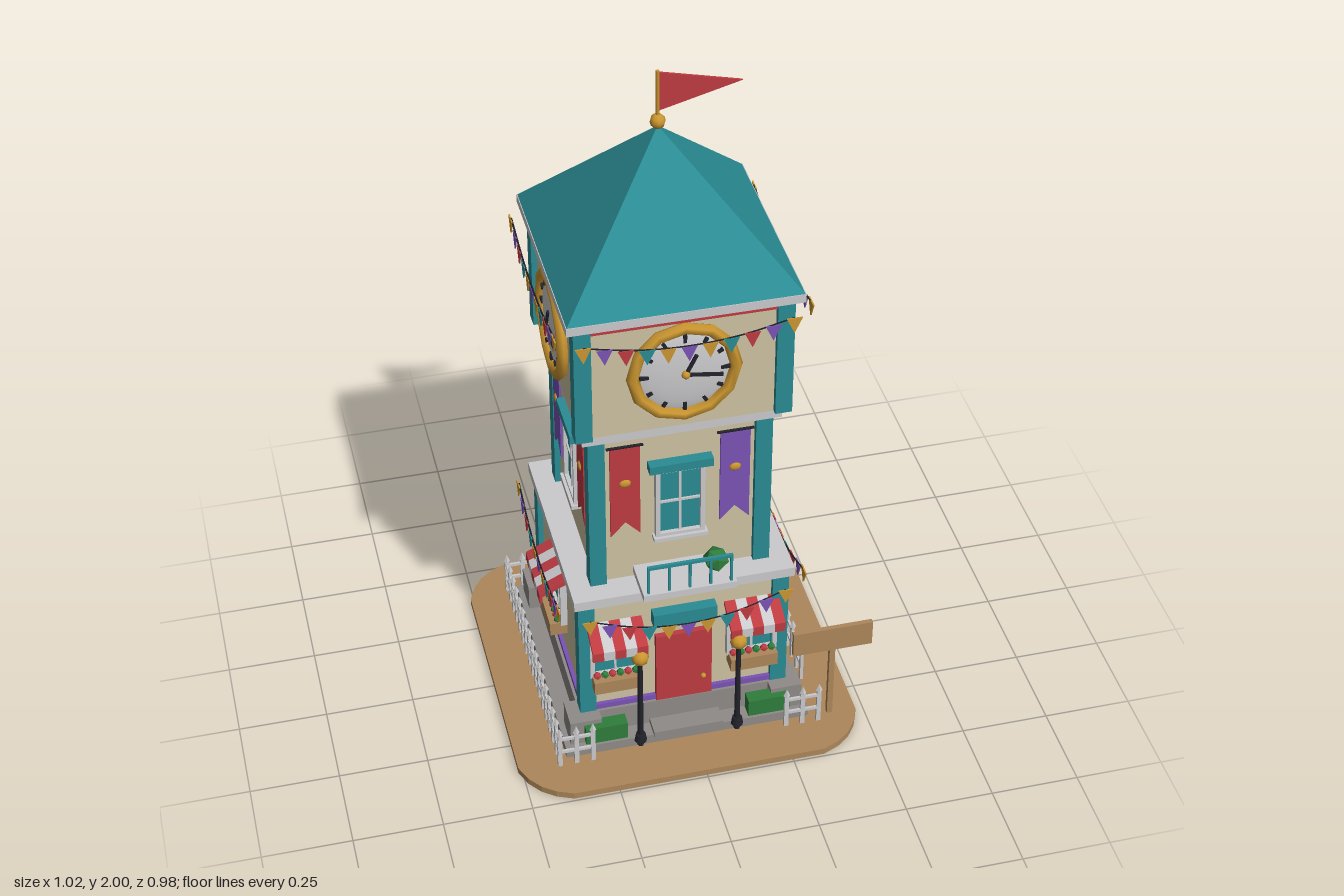
import * as THREE from 'three';

const mat = (name, color) => { const m = new THREE.MeshStandardMaterial({ color }); m.name = name; return m; };

export function createModel() {
  const teal = mat('teal', 0x2a8c94), cream = mat('cream', 0xcfc2a2), pale = mat('paleGrey', 0xcbcbcd);
  const stone = mat('stone', 0x8f8b88), red = mat('red', 0xbf3b42), purple = mat('purple', 0x7b52b5);
  const gold = mat('gold', 0xcb9630), wood = mat('wood', 0xad875a), green = mat('green', 0x2f7d3c), dark = mat('dark', 0x22232b);

  const model = new THREE.Group();
  model.name = 'clockTower';
  const tower = new THREE.Group();
  tower.name = 'tower';
  tower.position.x = -0.02;
  model.add(tower);

  const add = (parent, name, geo, material, x = 0, y = 0, z = 0) => {
    const m = new THREE.Mesh(geo, material);
    m.name = name;
    m.position.set(x, y, z);
    parent.add(m);
    return m;
  };
  const box = (parent, name, material, w, h, d, x, y, z) =>
    add(parent, name, new THREE.BoxGeometry(w, h, d), material, x, y, z);
  const plate = (points, depth) => new THREE.ExtrudeGeometry(
    new THREE.Shape(points.map(p => new THREE.Vector2(...p))), { depth, bevelEnabled: false });
  const faceted = g => { const f = g.toNonIndexed(); f.computeVertexNormals(); return f; };
  // square block from y0 to y1 with the given half width
  const block = (name, material, half, y0, y1) =>
    box(tower, name, material, half * 2, y1 - y0, half * 2, 0, (y0 + y1) / 2, 0);

  // Rounded ground slab
  const g = new THREE.Shape(), a = 0.492, c = 0.36;
  g.moveTo(-c, -a); g.lineTo(c, -a); g.quadraticCurveTo(a - 0.03, -a + 0.03, a, -c);
  g.lineTo(a, c); g.quadraticCurveTo(a - 0.03, a - 0.03, c, a);
  g.lineTo(-c, a); g.quadraticCurveTo(-a + 0.03, a - 0.03, -a, c);
  g.lineTo(-a, -c); g.quadraticCurveTo(-a + 0.03, -a + 0.03, -c, -a);
  add(model, 'ground', new THREE.ExtrudeGeometry(g, { depth: 0.02, bevelEnabled: false, curveSegments: 4 })
    .rotateX(-Math.PI / 2), wood, -0.02, 0, 0);

  // Stacked storeys and cornices
  block('step', stone, 0.352, 0.02, 0.05);
  block('plinth', stone, 0.302, 0.05, 0.13);
  block('plinthStripe', purple, 0.294, 0.13, 0.147);
  block('lowerWalls', cream, 0.283, 0.13, 0.53);
  block('lowerCornice', pale, 0.31, 0.525, 0.555);
  block('middleWalls', cream, 0.235, 0.555, 1.06);
  block('middleCornice', pale, 0.27, 1.06, 1.09);
  block('upperWalls', cream, 0.275, 1.09, 1.455);
  block('upperCornice', pale, 0.312, 1.455, 1.48);
  for (const sx of [-1, 1]) for (const sz of [-1, 1]) {
    box(tower, 'cornerStone', stone, 0.09, 0.08, 0.09, sx * 0.29, 0.09, sz * 0.29);
    for (const [y0, y1, out] of [[0.13, 0.525, 0.298], [0.555, 1.06, 0.252], [1.09, 1.455, 0.291]])
      box(tower, 'cornerPost', teal, 0.046, y1 - y0, 0.046, sx * (out - 0.023), (y0 + y1) / 2, sz * (out - 0.023));
  }

  // Roof, finial and flag
  add(tower, 'roof', faceted(new THREE.ConeGeometry(0.31 * Math.SQRT2, 0.36, 4).rotateY(Math.PI / 4)), teal, 0, 1.66, 0);
  add(tower, 'finial', new THREE.SphereGeometry(0.021, 8, 6), gold, 0, 1.853, 0);
  add(tower, 'flagPole', new THREE.CylinderGeometry(0.005, 0.005, 0.15, 6), gold, 0, 1.925, 0);
  add(tower, 'flag', plate([[0.004, 1.995], [0.004, 1.885], [0.22, 1.943]], 0.006), red, 0, 0, -0.003);

  // Repeated details, each facing local +z
  const windowUnit = (parent, x, y, z, w, h) => {
    const u = new THREE.Group();
    u.name = 'window';
    u.position.set(x, y, z);
    parent.add(u);
    box(u, 'glass', teal, w, h, 0.008, 0, 0, 0.003);
    for (const s of [-1, 1]) {
      box(u, 'frameSide', pale, 0.013, h + 0.026, 0.022, s * (w / 2 + 0.006), 0, 0.008);
      box(u, 'frameRail', pale, w, 0.013, 0.022, 0, s * (h / 2 + 0.006), 0.008);
    }
    box(u, 'mullion', pale, 0.007, h, 0.012, 0, 0, 0.006);
    box(u, 'crossbar', pale, w, 0.007, 0.012, 0, 0, 0.006);
  };

  const awning = (parent, x, width) => {
    const w = width / 5;
    const profile = plate([[0.283, 0.435], [0.283, 0.448], [0.365, 0.408], [0.365, 0.378], [0.357, 0.378], [0.357, 0.4]], w);
    // profile is drawn as (z, y), extruded along x
    profile.rotateY(-Math.PI / 2);
    for (let i = 0; i < 5; i++)
      add(parent, 'awningStripe', profile, i % 2 ? pale : red, x - width / 2 + w * (i + 1), 0, 0);
  };

  const planter = (parent, x) => {
    box(parent, 'windowBox', wood, 0.135, 0.042, 0.05, x, 0.245, 0.308);
    for (let i = 0; i < 6; i++) {
      const px = x - 0.055 + i * 0.022;
      add(parent, 'flower', new THREE.IcosahedronGeometry(0.012, 0), i % 2 ? green : red, px, 0.272, 0.308);
    }
  };

  const shopWindow = (parent, x, width) => {
    windowUnit(parent, x, 0.337, 0.283, 0.12, 0.13);
    awning(parent, x, width);
    planter(parent, x);
  };

  const flagShape = plate([[-0.021, 0], [0, -0.046], [0.021, 0]], 0.004);
  const bunting = (parent, y, sag, z) => {
    const n = 11, half = 0.275, colours = [gold, purple, red, teal];
    const at = t => new THREE.Vector3(t * half, y - sag * (1 - t * t), z);
    const cord = new THREE.CatmullRomCurve3([-1, -0.5, 0, 0.5, 1].map(at));
    add(parent, 'buntingCord', new THREE.TubeGeometry(cord, 12, 0.0025, 4), dark);
    for (let i = 0; i < n; i++) {
      const p = at(-1 + 2 * i / (n - 1));
      add(parent, 'buntingFlag', flagShape, colours[Math.min(i, n - 1 - i) % 4], p.x, p.y, p.z);
    }
  };

  const bannerShape = plate([[-0.041, 0], [-0.041, -0.3], [0, -0.255], [0.041, -0.3], [0.041, 0]], 0.006);
  const banner = (parent, x, material) => {
    add(parent, 'banner', bannerShape, material, x, 1.02, 0.246);
    const rod = add(parent, 'bannerRod', new THREE.CylinderGeometry(0.004, 0.004, 0.1, 6), dark, x, 1.023, 0.25);
    rod.rotation.z = Math.PI / 2;
    add(parent, 'bannerEmblem', new THREE.SphereGeometry(0.017, 8, 6).scale(1, 0.75, 0.4), gold, x, 0.9, 0.252);
  };

  const clock = parent => {
    const k = new THREE.Group();
    k.name = 'clock';
    k.position.set(0, 1.273, 0.275);
    parent.add(k);
    add(k, 'clockFace', new THREE.SphereGeometry(0.137, 24, 8, 0, Math.PI * 2, 0, Math.PI / 2)
      .rotateX(Math.PI / 2).scale(1, 1, 0.17), pale);
    add(k, 'clockRim', new THREE.TorusGeometry(0.138, 0.017, 6, 12), gold, 0, 0, 0.012);
    for (let i = 0; i < 12; i++) {
      const t = i * Math.PI / 6;
      const m = box(k, 'hourMark', dark, 0.009, i % 3 ? 0.016 : 0.024, 0.008, Math.sin(t) * 0.108, Math.cos(t) * 0.108, 0.016);
      m.rotation.z = -t;
    }
    for (const [len, t] of [[0.065, 0.45], [0.1, 1.72]]) {
      const h = box(k, 'clockHand', dark, 0.009, len, 0.006, Math.sin(t) * len / 2, Math.cos(t) * len / 2, 0.027);
      h.rotation.z = -t;
    }
    add(k, 'clockHub', new THREE.SphereGeometry(0.012, 8, 6), gold, 0, 0, 0.027);
  };

  const fence = (parent, x0, x1) => {
    const n = Math.round((x1 - x0) / 0.047);
    for (const y of [0.07, 0.118]) box(parent, 'fenceRail', pale, x1 - x0, 0.009, 0.007, (x0 + x1) / 2, y, 0.375);
    for (let i = 0; i <= n; i++) {
      const x = x0 + (x1 - x0) * i / n;
      box(parent, 'picket', pale, 0.013, 0.115, 0.009, x, 0.077, 0.375);
      add(parent, 'picketTip', faceted(new THREE.ConeGeometry(0.01, 0.026, 4)), pale, x, 0.147, 0.375);
    }
  };

  // Four sides of the tower
  ['front', 'leftSide', 'back', 'rightSide'].forEach((name, i) => {
    const s = new THREE.Group();
    s.name = name;
    s.rotation.y = i * Math.PI / 2;
    tower.add(s);
    clock(s);
    box(s, 'upperTrim', red, 0.5, 0.01, 0.012, 0, 1.433, 0.281);
    bunting(s, 1.43, 0.04, 0.335);
    bunting(s, 0.512, 0.065, 0.345);
    windowUnit(s, 0, 0.81, 0.235, 0.112, 0.21);
    box(s, 'windowLintel', teal, 0.175, 0.026, 0.035, 0, 0.938, 0.248);
    box(s, 'windowSill', pale, 0.15, 0.012, 0.03, 0, 0.69, 0.248);
    banner(s, -0.152, i % 2 ? purple : red);
    banner(s, 0.15, i % 2 ? red : purple);
    if (i) {
      shopWindow(s, 0, 0.19);
      fence(s, i === 1 ? -0.2 : -0.375, 0.375);
      return;
    }

    // Entrance front: windows, door, sign, lamps and shrubs
    for (const e of [-1, 1]) {
      shopWindow(s, e * 0.195, 0.155);
      const x = e * 0.14;
      add(s, 'lampPost', new THREE.CylinderGeometry(0.007, 0.009, 0.32, 8), dark, x, 0.19, 0.36);
      add(s, 'lampBase', new THREE.CylinderGeometry(0.014, 0.018, 0.025, 8), dark, x, 0.06, 0.36);
      add(s, 'lampGlobe', new THREE.SphereGeometry(0.025, 8, 6), gold, x, 0.365, 0.36);
      box(s, 'shrub', green, 0.12, 0.055, 0.04, e * 0.235, 0.088, 0.335);
      fence(s, e < 0 ? -0.375 : 0.28, e < 0 ? -0.28 : 0.375);
    }
    box(s, 'door', red, 0.16, 0.32, 0.02, 0, 0.21, 0.29);
    add(s, 'doorKnob', new THREE.SphereGeometry(0.008, 8, 6), gold, 0.055, 0.2, 0.304);
    box(s, 'doorSign', teal, 0.18, 0.045, 0.035, 0, 0.443, 0.298);
    box(s, 'doorStep', stone, 0.2, 0.02, 0.07, 0, 0.055, 0.325);

    // Balcony with rail and potted bush
    box(s, 'balconyFloor', pale, 0.26, 0.022, 0.13, 0, 0.585, 0.305);
    for (let j = 0; j < 5; j++)
      box(s, 'balconyPost', teal, 0.007, 0.085, 0.007, -0.115 + j * 0.0575, 0.638, 0.36);
    box(s, 'balconyRail', teal, 0.237, 0.009, 0.009, 0, 0.684, 0.36);
    add(s, 'bush', new THREE.IcosahedronGeometry(0.037, 0), green, 0.085, 0.635, 0.31);
  });

  // Wooden signpost beside the entrance
  box(model, 'signPost', wood, 0.016, 0.26, 0.014, 0.395, 0.145, 0.35);
  box(model, 'signBoard', wood, 0.23, 0.08, 0.014, 0.395, 0.305, 0.35);
  return model;
}
